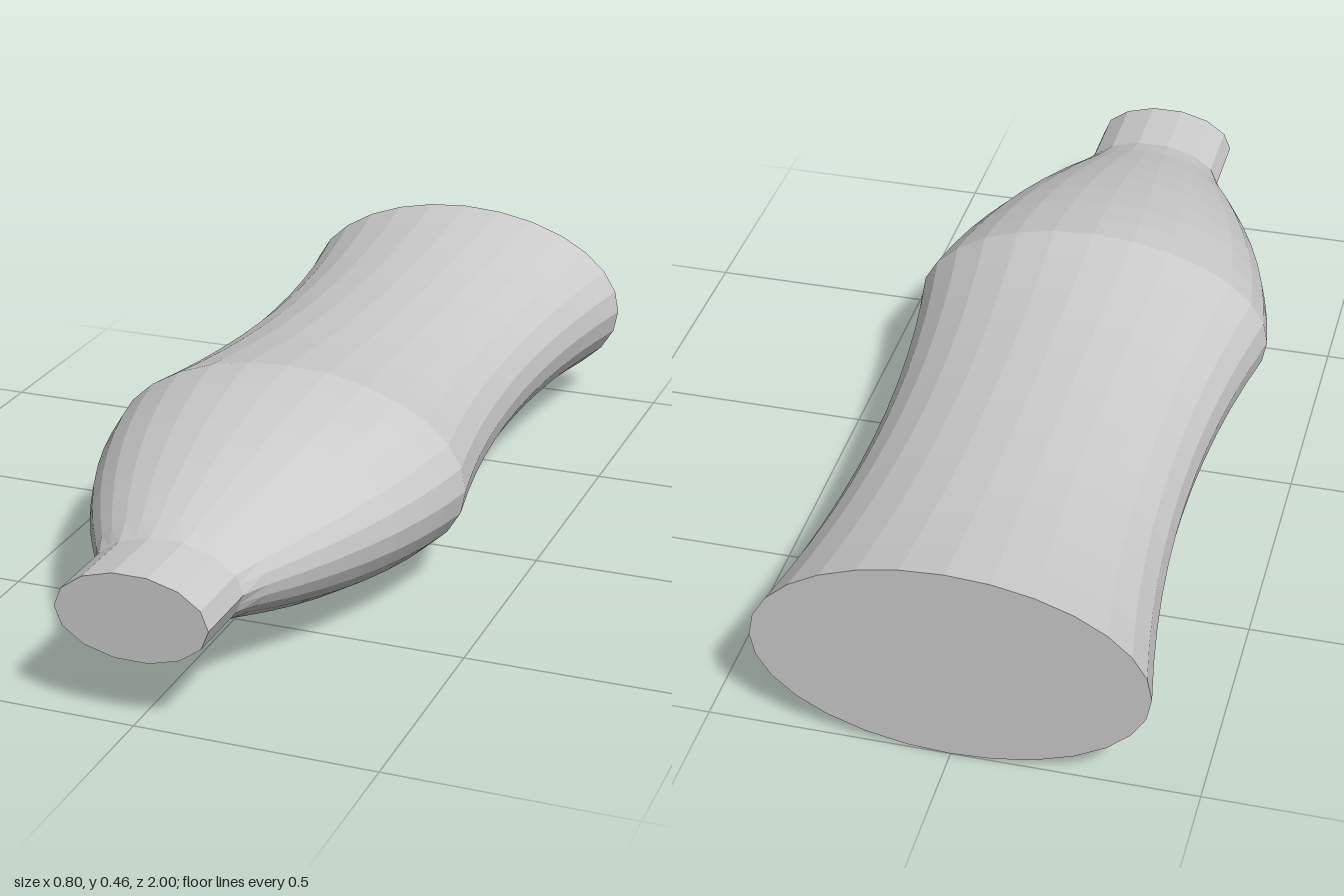
import * as THREE from 'three';

const SIDES = 28;
const FLATTEN = 0.57;      // height of the oval section relative to its width
const HALF_HEIGHT = 0.4 * FLATTEN;
const NECK_START = 0.8;

// Half width of the body along its length
function halfWidth(z) {
  if (z <= 0.2) return 0.34 + 0.06 * ((z + 0.4) / 0.6) ** 2; // waisted rear
  const d = z - 0.2;
  return 0.4 - 0.15 * d - 0.4 * d * d;                       // domed shoulder
}

export function createModel() {
  const group = new THREE.Group();
  group.name = 'ovalBottle';

  // Profile from the closed rear, over the waist and shoulder, to the neck end
  const profile = [new THREE.Vector2(0, -1)];
  for (let i = 0; i <= 12; i++) {
    const z = -1 + i * 0.1;
    profile.push(new THREE.Vector2(halfWidth(z), z));
  }
  for (let i = 1; i <= 7; i++) {
    const z = 0.2 + (i / 7) * 0.57;
    profile.push(new THREE.Vector2(halfWidth(z), z));
  }
  profile.push(new THREE.Vector2(0.16, 0.83), new THREE.Vector2(0.16, 1), new THREE.Vector2(0, 1));

  const geometry = new THREE.LatheGeometry(profile, SIDES, Math.PI / 2);

  // The neck has half as many sides: pull every other vertex onto the chord
  const pos = geometry.attributes.position;
  const chord = Math.cos((2 * Math.PI) / SIDES);
  for (let i = 0; i < pos.count; i++) {
    const column = Math.floor(i / profile.length);
    if (column % 2 === 1 && pos.getY(i) > NECK_START) {
      pos.setX(i, pos.getX(i) * chord);
      pos.setZ(i, pos.getZ(i) * chord);
    }
  }

  // Lay it along z and flatten it to an oval
  geometry.rotateX(Math.PI / 2);
  geometry.scale(1, FLATTEN, 1);
  geometry.translate(0, HALF_HEIGHT, 0);

  const material = new THREE.MeshStandardMaterial({ color: 0xcccccc, flatShading: true });
  const body = new THREE.Mesh(geometry, material);
  body.name = 'bodyWithNeck';
  group.add(body);
  return group;
}
